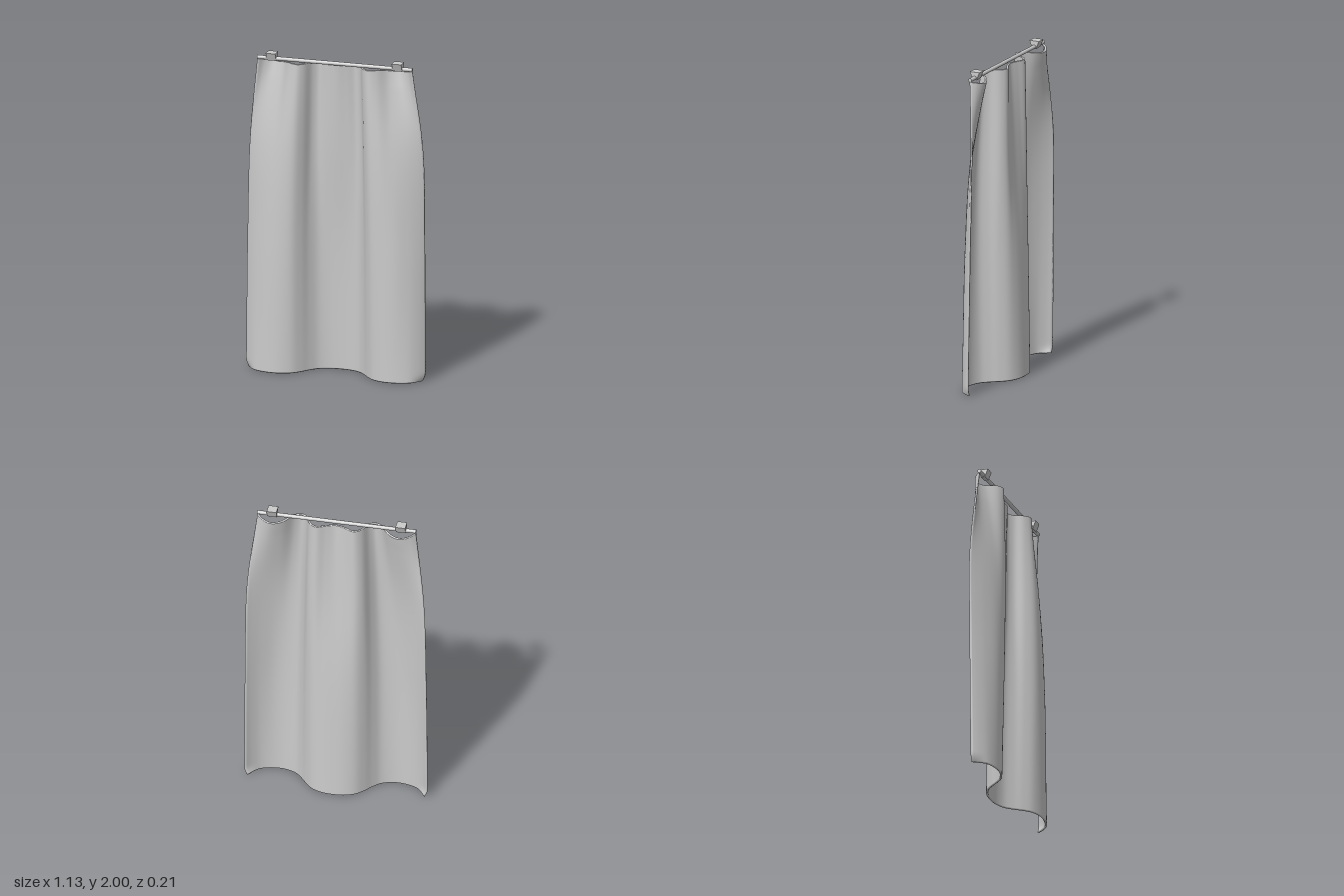
import * as THREE from 'three';
import { mergeVertices } from 'three/addons/utils/BufferGeometryUtils.js';

const grey = new THREE.MeshStandardMaterial({ color: 0xcccccc, side: THREE.DoubleSide });
const V = (x, y, z) => new THREE.Vector3(x, y, z);

// Half cross-sections of the cloth, from the centre to the side edge: [height, x,z pairs]
const sections = [
  [1.955, 0, 0, .06, -.018, .115, -.04, .155, -.015, .19, .045, .225, .068, .27, .05, .33, -.01, .4, -.034, .455, -.015, .49, .02],
  [1.45, 0, -.03, .07, -.037, .125, -.045, .165, -.02, .2, .045, .24, .085, .3, .09, .37, .065, .45, .03, .51, 0, .547, -.02],
  [0.85, 0, -.073, .07, -.07, .13, -.055, .175, -.015, .21, .04, .255, .085, .32, .1, .4, .09, .48, .05, .53, .012, .56, -.017],
  [0, 0, -.1, .07, -.093, .13, -.068, .175, -.025, .215, .025, .26, .068, .33, .094, .4, .095, .48, .072, .53, .035, .567, -.008],
];

// Mirrored smooth curve through one cross-section
function sectionCurve([y, ...p]) {
  const pts = [];
  for (let i = p.length - 2; i > 0; i -= 2) pts.push(V(-p[i], y, p[i + 1]));
  for (let i = 0; i < p.length; i += 2) pts.push(V(p[i], y, p[i + 1]));
  return new THREE.CatmullRomCurve3(pts);
}

// Thin closed shell: front and back layers that meet along the rim
function clothGeometry(cols = 120, rows = 60, halfThickness = 0.006) {
  const curves = sections.map(sectionCurve);
  const grid = [];
  for (let i = 0; i <= cols; i++) {
    const column = new THREE.CatmullRomCurve3(curves.map(c => c.getPoint(i / cols)));
    const line = [];
    for (let j = 0; j <= rows; j++) {
      // rows crowd together at the top and the hem
      const v = j / rows - Math.sin(2 * Math.PI * j / rows) / (2 * Math.PI) * 0.9;
      const p = column.getPoint(v);
      const x = Math.abs(p.x);
      // top edge sags between the rod end and the fold
      if (x > 0.28) p.y -= 0.02 * Math.sin(Math.PI * Math.min(1, (x - 0.28) / 0.21)) * Math.max(0, 1 - v * 12);
      // rounded lower corners
      const drop = Math.max(0, 1 - p.y / 0.06) ** 2;
      p.x -= Math.sign(p.x) * 0.02 * drop * THREE.MathUtils.smoothstep(x, 0.48, 0.565);
      line.push(p);
    }
    grid.push(line);
  }
  const pos = [], index = [], layer = (cols + 1) * (rows + 1);
  for (const side of [1, -1]) {
    for (let i = 0; i <= cols; i++) for (let j = 0; j <= rows; j++) {
      const p = grid[i][j];
      const across = grid[Math.min(cols, i + 1)][j].clone().sub(grid[Math.max(0, i - 1)][j]);
      const down = grid[i][Math.min(rows, j + 1)].clone().sub(grid[i][Math.max(0, j - 1)]);
      const normal = down.cross(across).normalize();
      const rim = i === 0 || j === 0 || i === cols || j === rows;
      pos.push(...p.clone().addScaledVector(normal, rim ? 0 : side * halfThickness).toArray());
    }
    const base = side > 0 ? 0 : layer;
    for (let i = 0; i < cols; i++) for (let j = 0; j < rows; j++) {
      const a = base + i * (rows + 1) + j, b = a + rows + 1;
      if (side > 0) index.push(a, a + 1, b, b, a + 1, b + 1);
      else index.push(a, b, a + 1, b, b + 1, a + 1);
    }
  }
  const raw = new THREE.BufferGeometry();
  raw.setAttribute('position', new THREE.Float32BufferAttribute(pos, 3));
  raw.setIndex(index);
  const geo = mergeVertices(raw, 1e-5);
  geo.computeVertexNormals();
  return geo;
}

export function createModel() {
  const model = new THREE.Group();
  const add = (name, geometry) => {
    const mesh = new THREE.Mesh(geometry, grey);
    mesh.name = name;
    model.add(mesh);
    return mesh;
  };

  add('cloth', clothGeometry());

  // Hanging rod
  const rod = add('rod', new THREE.CylinderGeometry(0.012, 0.012, 0.98, 16));
  rod.rotation.z = Math.PI / 2;
  rod.position.set(0, 1.964, 0.018);

  // Wedge-shaped brackets that widen towards the top
  const wedge = new THREE.Shape([[-.032, 2], [-.012, 1.951], [.012, 1.951], [.032, 2]].map(p => new THREE.Vector2(...p)));
  for (const side of [1, -1]) {
    const geo = new THREE.ExtrudeGeometry(wedge, { depth: 0.06, bevelEnabled: false });
    geo.translate(0, 0, -0.03).rotateY(Math.PI / 2);
    add(side > 0 ? 'leftBracket' : 'rightBracket', geo).position.set(side * 0.398, 0, 0.018);
  }
  return model;
}
